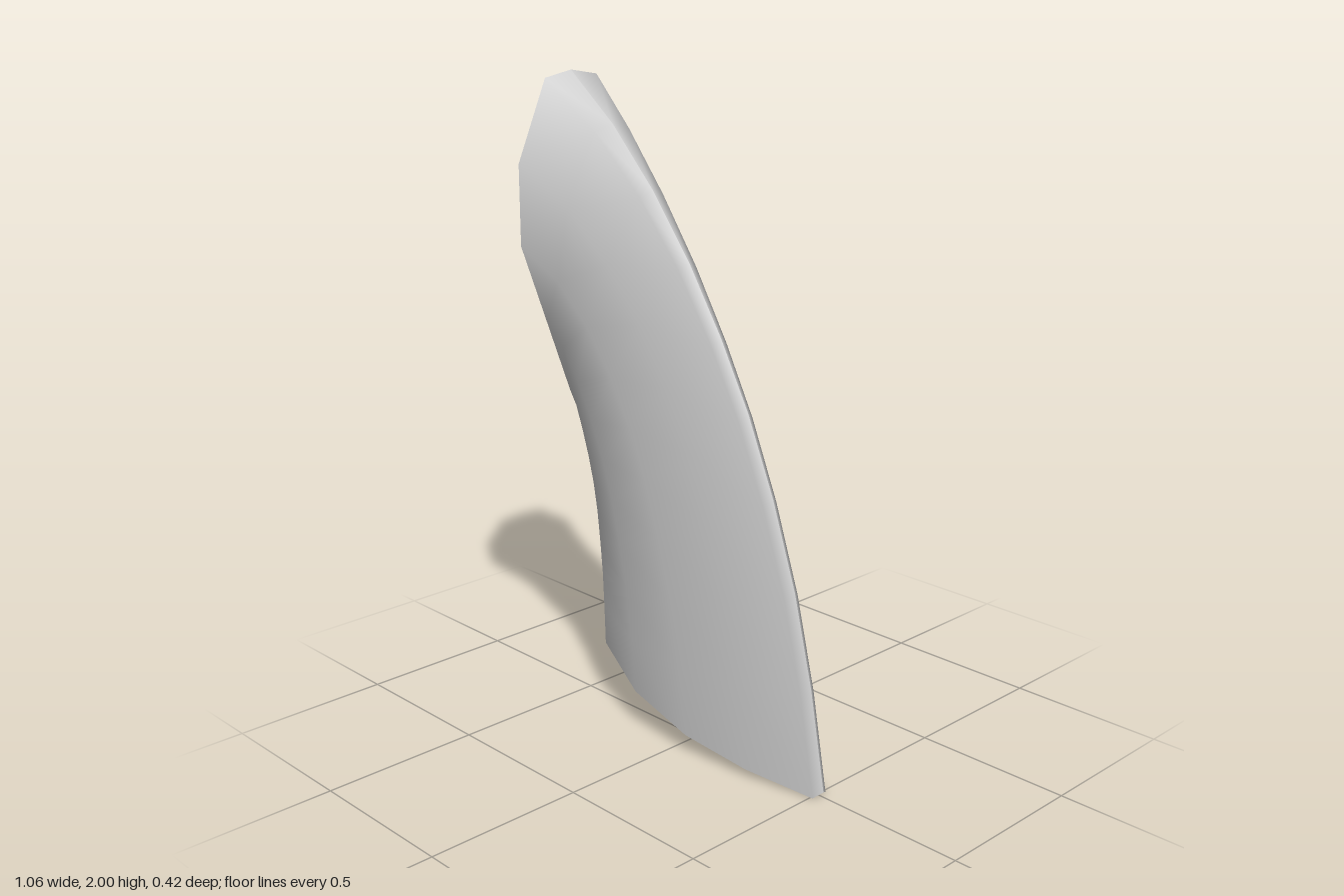
import * as THREE from 'three';

// Outer spine and inner edge of each cross-section, from the upper mouth down to the base
const OUTER = [[-0.535, 2], [-0.35, 1.855], [-0.18, 1.68], [-0.03, 1.49], [0.1, 1.29],
  [0.21, 1.09], [0.31, 0.86], [0.4, 0.6], [0.47, 0.32], [0.525, 0.018]];
const INNER = [[-0.535, 1], [-0.51, 0.96], [-0.485, 0.89], [-0.46, 0.81], [-0.44, 0.73],
  [-0.425, 0.64], [-0.415, 0.54], [-0.407, 0.44], [-0.403, 0.33], [-0.4, 0.21]];

// Section from spine to inner edge: fraction across, half width at mouth and base, sag at base
const SECTION = [[0, 0, 0, 0], [0.018, 0.1, 0.028, 0.019], [0.26, 0.208, 0.077, 0.04],
  [0.505, 0.208, 0.103, 0.05], [0.75, 0.117, 0.1, 0.031], [0.985, 0.03, 0.03, 0.003], [1, 0, 0, 0]];

// One side of the curved duct; side is +1 for +z and -1 for -z
function shellHalf(side) {
  const positions = [], index = [];
  const rings = OUTER.length, n = SECTION.length;
  for (let i = 0; i < rings; i++) {
    const t = i / (rings - 1);
    const flare = Math.pow(1 - t, 5.5); // the flare fades quickly below the mouth
    for (const [f, mouth, base, sag] of SECTION) {
      positions.push(
        THREE.MathUtils.lerp(OUTER[i][0], INNER[i][0], f),
        THREE.MathUtils.lerp(OUTER[i][1], INNER[i][1], f) - sag * t,
        side * THREE.MathUtils.lerp(base, mouth, flare));
    }
  }
  for (let i = 0; i < rings - 1; i++) {
    for (let j = 0; j < n - 1; j++) {
      const a = i * n + j, b = a + 1, c = a + n, d = c + 1;
      if (side > 0) index.push(a, b, c, b, d, c);
      else index.push(a, c, b, b, c, d);
    }
  }
  const geometry = new THREE.BufferGeometry();
  geometry.setAttribute('position', new THREE.Float32BufferAttribute(positions, 3));
  geometry.setIndex(index);
  geometry.computeVertexNormals();
  return geometry;
}

export function createModel() {
  const group = new THREE.Group();
  group.name = 'curvedDuct';
  const grey = new THREE.MeshStandardMaterial({ color: 0xcccccc, side: THREE.DoubleSide });
  grey.name = 'light grey';

  // Separate halves keep the centre ridge sharp; both ends stay open
  for (const [name, side] of [['frontShell', 1], ['backShell', -1]]) {
    const mesh = new THREE.Mesh(shellHalf(side), grey);
    mesh.name = name;
    group.add(mesh);
  }
  return group;
}
